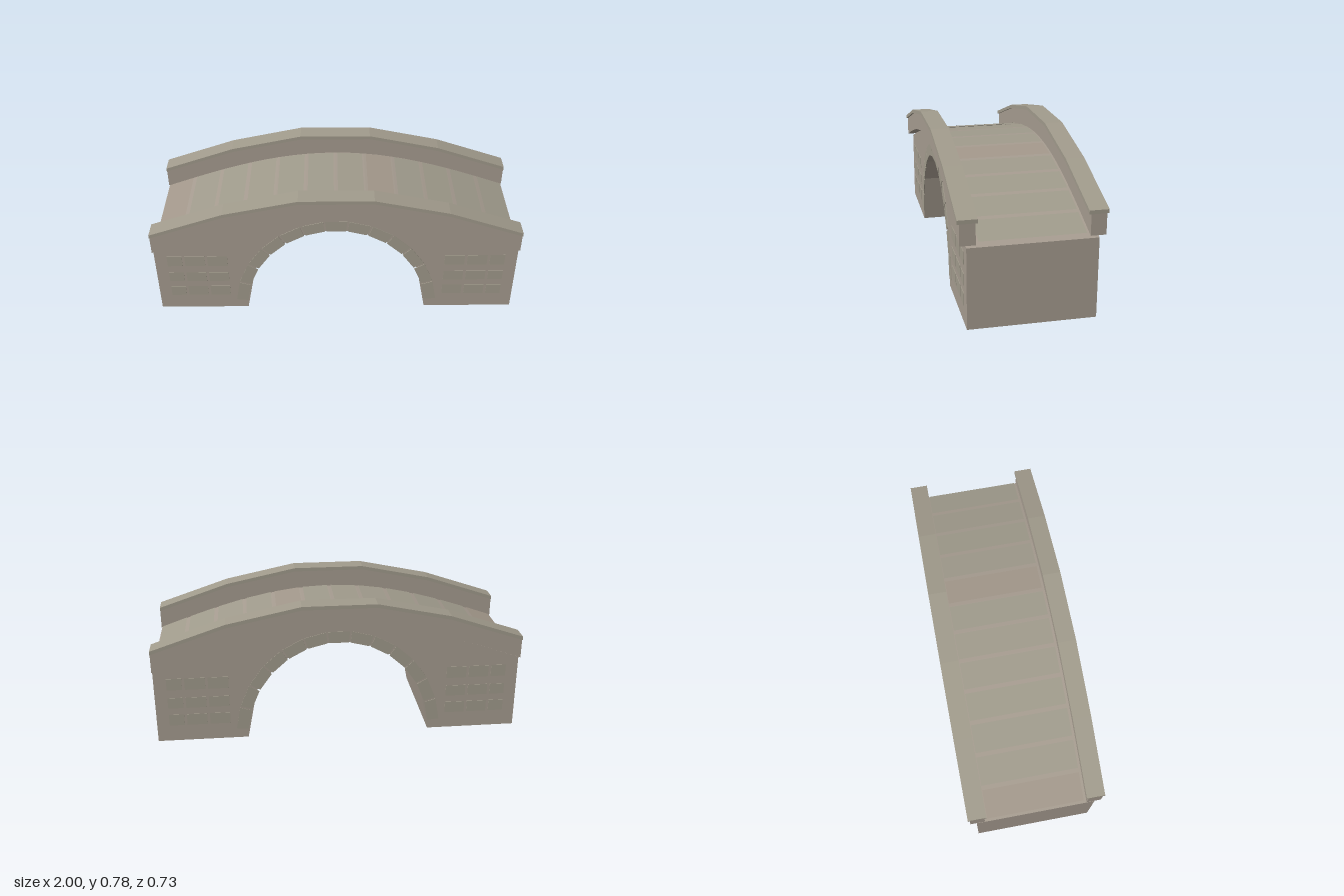
import * as THREE from 'three';

const mat = (name, color, side = THREE.FrontSide) => {
  const m = new THREE.MeshStandardMaterial({ color, side });
  m.name = name;
  return m;
};

// Height of the humped deck at x
const deckY = (x) => 0.42 + 0.23 * Math.cos((x * Math.PI) / 2);

// Points along the deck curve, from x = -1 to x = 1, lifted by an offset
function deckLine(segments, lift) {
  const pts = [];
  for (let i = 0; i <= segments; i++) {
    const x = -1 + (2 * i) / segments;
    pts.push(new THREE.Vector2(x, deckY(x) + lift));
  }
  return pts;
}

// Extrude an outline between two z positions
function slice(name, points, z0, z1, material) {
  const geo = new THREE.ExtrudeGeometry(new THREE.Shape(points), { depth: z1 - z0, bevelEnabled: false });
  geo.translate(0, 0, z0);
  const mesh = new THREE.Mesh(geo, material);
  mesh.name = name;
  return mesh;
}

export function createModel() {
  const group = new THREE.Group();
  group.name = 'stoneBridge';
  const stone = mat('warm stone', 0xa69c90);
  const trim = mat('grey trim stone', 0xa19b8c);
  const paving = mat('grey paving', 0xa09b8c, THREE.DoubleSide);
  const warmPaving = mat('warm paving', 0xa3988b, THREE.DoubleSide);

  // Body with faceted arch opening
  const half = [[0.505, 0], [0.45, 0.285], [0.335, 0.43], [0.225, 0.505], [0.11, 0.545]];
  const arch = [
    ...half.map(([x, y]) => new THREE.Vector2(-x, y)),
    new THREE.Vector2(0, 0.555),
    ...half.slice().reverse().map(([x, y]) => new THREE.Vector2(x, y)),
  ];
  const outline = [
    new THREE.Vector2(-1, 0), ...arch, new THREE.Vector2(1, 0),
    ...deckLine(24, 0).reverse(),
  ];
  group.add(slice('bridgeBody', outline, -0.322, 0.322, stone));

  // Parapet walls with overhanging copings
  const wall = [...deckLine(24, 0.012), ...deckLine(5, 0.12).reverse()];
  const coping = [...deckLine(5, 0.12), ...deckLine(5, 0.14).reverse()];
  for (const s of [1, -1]) {
    const span = (a, b) => (s > 0 ? [a, b] : [-b, -a]);
    group.add(slice('parapetWall', wall, ...span(0.277, 0.355), stone));
    group.add(slice('parapetCoping', coping, ...span(0.267, 0.365), trim));
  }

  // Thin paving slabs lying along the deck
  for (let i = 0; i < 12; i++) {
    const x = -1 + (i + 0.5) / 6;
    const x0 = x - 0.072, x1 = x + 0.072;
    const rise = deckY(x1) - deckY(x0);
    const geo = new THREE.PlaneGeometry(Math.hypot(x1 - x0, rise), 0.526);
    geo.rotateX(-Math.PI / 2);
    const slab = new THREE.Mesh(geo, i % 7 === 0 ? warmPaving : paving);
    slab.name = 'pavingSlab';
    slab.rotation.z = Math.atan2(rise, x1 - x0);
    slab.position.set(x, (deckY(x0) + deckY(x1)) / 2 + 0.02, 0);
    group.add(slab);
  }

  // Arch stones and wall blocks on both faces
  const step = THREE.MathUtils.degToRad(13.1);
  const halfStone = THREE.MathUtils.degToRad(6);
  const onRing = (a, rx, ry) => new THREE.Vector2(Math.sin(a) * rx, Math.cos(a) * ry);
  const columns = [[0.6, 0.71], [0.725, 0.835], [0.85, 0.932]];
  const rows = [[0.095, 0.16], [0.2, 0.262], [0.31, 0.377]];
  for (const [z0, z1] of [[0.32, 0.325], [-0.325, -0.32]]) {
    for (let i = -6; i <= 6; i++) {
      const a = i * step - halfStone, b = i * step + halfStone;
      const pts = [
        onRing(a, 0.505, 0.553), onRing(b, 0.505, 0.553),
        onRing(b, 0.57, 0.617), onRing(a, 0.57, 0.617),
      ];
      group.add(slice('archStone', pts, z0, z1, trim));
    }
    for (const side of [1, -1]) {
      for (const [xa, xb] of columns) {
        for (const [ya, yb] of rows) {
          const pts = [[xa, ya], [xb, ya], [xb, yb], [xa, yb]].map(([x, y]) => new THREE.Vector2(side * x, y));
          group.add(slice('wallBlock', pts, z0, z1, trim));
        }
      }
    }
  }
  return group;
}
